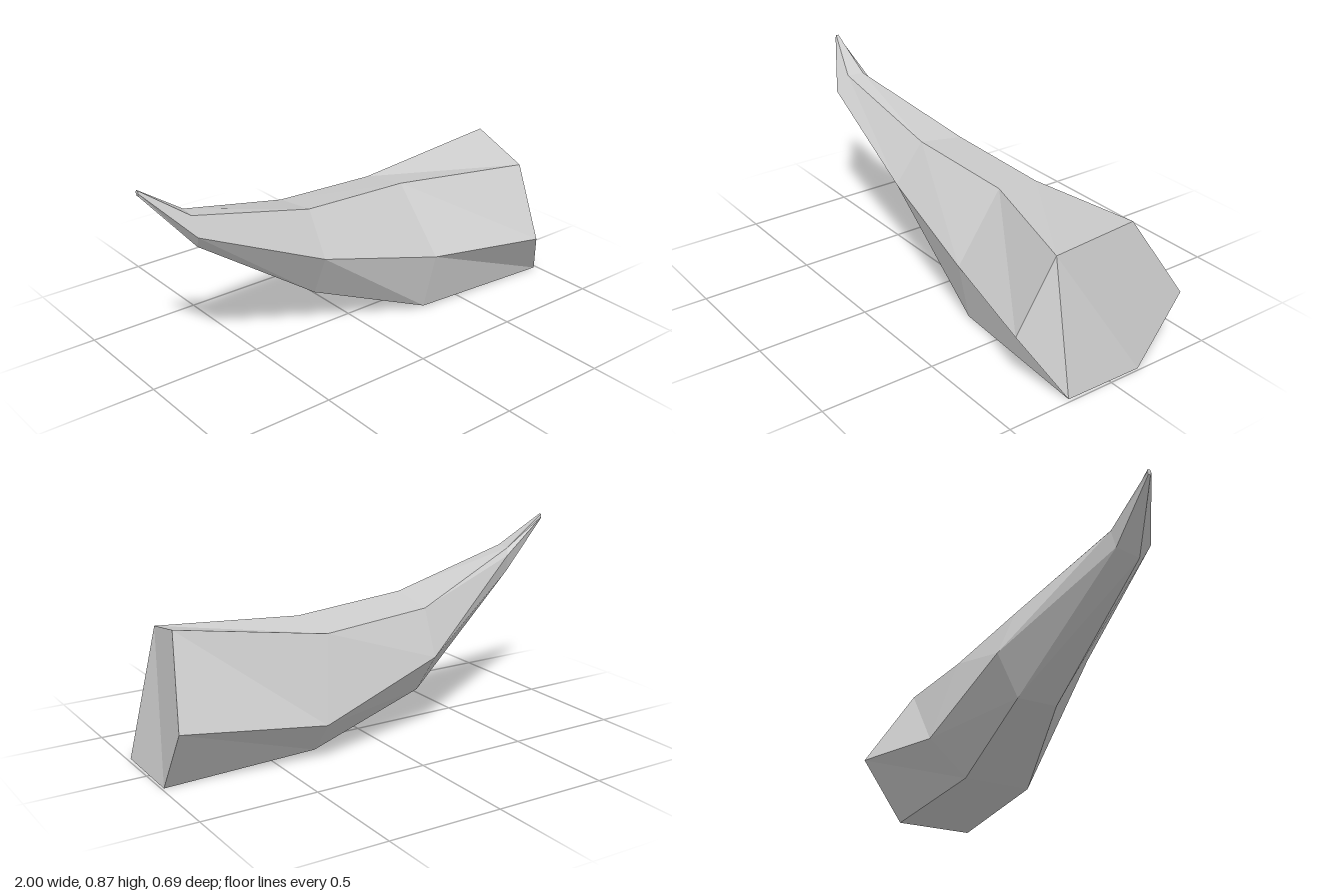
import * as THREE from 'three';

// Hexagonal cross-sections from the wide base to the tip, as [x, y, z] corners.
// Corner order: front top, back top, back, back bottom, front bottom, front.
const rings = [
  [[0.86, 0.56, 0.185], [0.92, 0.63, -0.137], [1, 0.287, -0.345], [0.99, 0, -0.15], [0.985, 0, 0.205], [0.83, 0.25, 0.345]],
  [[0.29, 0.56, 0.01], [0.27, 0.53, -0.2], [0.33, 0.175, -0.297], [0.3, 0.01, -0.135], [0.3, 0.01, 0.17], [0.31, 0.275, 0.23]],
  [[-0.235, 0.59, 0.035], [-0.23, 0.56, -0.175], [-0.23, 0.36, -0.255], [-0.21, 0.19, -0.15], [-0.21, 0.19, 0.03], [-0.25, 0.41, 0.16]],
  [[-0.81, 0.73, 0.056], [-0.8, 0.73, -0.02], [-0.78, 0.7, -0.046], [-0.79, 0.625, -0.03], [-0.8, 0.6, 0.07], [-0.82, 0.66, 0.113]],
  [[-1, 0.865, 0], [-1, 0.865, -0.012], [-1, 0.853, -0.015], [-1, 0.842, -0.01], [-1, 0.842, 0], [-1, 0.853, 0.004]],
];

// Separate triangles give every facet its own flat normal.
function facets(triangles) {
  const geometry = new THREE.BufferGeometry();
  geometry.setAttribute('position', new THREE.Float32BufferAttribute(triangles.flat(2), 3));
  geometry.computeVertexNormals();
  return geometry;
}

// Fan that closes a ring; reversed for the end facing +x.
function capTriangles(ring, reversed) {
  const out = [];
  for (let k = 1; k < ring.length - 1; k++) {
    out.push(reversed ? [ring[0], ring[k + 1], ring[k]] : [ring[0], ring[k], ring[k + 1]]);
  }
  return out;
}

// Side wall joining neighbouring rings.
function wallTriangles() {
  const out = [];
  for (let i = 0; i < rings.length - 1; i++) {
    const near = rings[i];
    const far = rings[i + 1];
    for (let k = 0; k < 6; k++) {
      const n = (k + 1) % 6;
      out.push([near[k], near[n], far[n]], [near[k], far[n], far[k]]);
    }
  }
  return out;
}

export function createModel() {
  const model = new THREE.Group();
  model.name = 'horn';
  const grey = new THREE.MeshStandardMaterial({ color: 0xcccccc, flatShading: true });
  grey.name = 'light grey';

  const parts = {
    hornBody: wallTriangles(),
    hornBase: capTriangles(rings[0], true),
    hornTip: capTriangles(rings[rings.length - 1], false),
  };
  for (const [name, triangles] of Object.entries(parts)) {
    const mesh = new THREE.Mesh(facets(triangles), grey);
    mesh.name = name;
    model.add(mesh);
  }
  return model;
}
